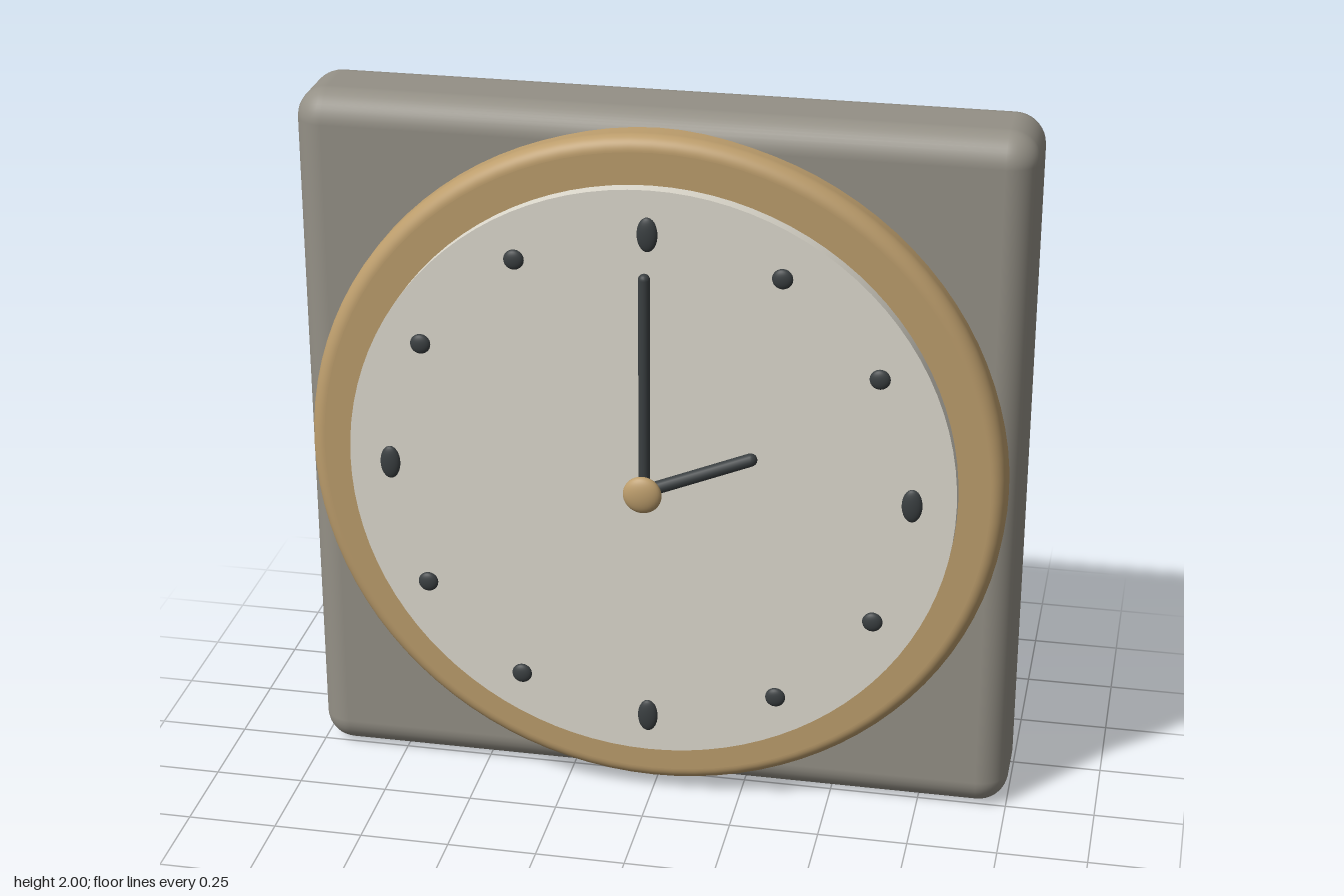
import * as THREE from 'three';
import { RoundedBoxGeometry } from 'three/addons/geometries/RoundedBoxGeometry.js';

const paint = (color) => new THREE.MeshStandardMaterial({ color });

export function createModel() {
  const clock = new THREE.Group();
  clock.name = 'wallClock';
  const stone = paint(0x949086);
  const brass = paint(0xbc9d6c);
  const cream = paint(0xdedace);
  const dark = paint(0x3a3f41);

  const add = (name, geometry, material, x, y, z) => {
    const mesh = new THREE.Mesh(geometry, material);
    mesh.name = name;
    mesh.position.set(x, y, z);
    clock.add(mesh);
    return mesh;
  };

  // Square case with soft edges
  add('case', new RoundedBoxGeometry(2, 2, 0.295, 5, 0.085), stone, 0, 1, -0.1125);

  // Round bezel disc with a rolled front rim, set into the case
  const profile = new THREE.Path();
  profile.moveTo(0.965, -0.03);
  profile.lineTo(0.965, 0.066);
  profile.absarc(0.925, 0.066, 0.04, 0, Math.PI / 2, false);
  const rim = profile.getPoints(8);
  const bezel = new THREE.LatheGeometry(rim, 96).rotateX(Math.PI / 2);
  add('bezel', bezel, brass, 0, 1, 0);
  add('bezelFace', new THREE.CircleGeometry(0.925, 96), brass, 0, 1, 0.106);
  add('bezelBack', new THREE.CircleGeometry(0.965, 96).rotateY(Math.PI), brass, 0, 1, -0.03);

  // Dial plate
  const dial = new THREE.CylinderGeometry(0.838, 0.838, 0.038, 96).rotateX(Math.PI / 2);
  add('dial', dial, cream, 0, 1, 0.132);

  // Twelve hour markers, the quarters taller
  const dot = new THREE.SphereGeometry(1, 24, 16);
  for (let i = 0; i < 12; i++) {
    const a = (i * Math.PI) / 6;
    const quarter = i % 3 === 0;
    const marker = add(quarter ? 'quarterMarker' : 'hourMarker', dot, dark,
      0.72 * Math.sin(a), 1 + 0.72 * Math.cos(a), 0.165);
    marker.scale.set(0.028, quarter ? 0.048 : 0.028, 0.014);
  }

  // Hands: round-ended rods pivoting at the centre
  const hand = (name, length, radius, angle, z) => {
    const rod = new THREE.CapsuleGeometry(radius, length - 2 * radius, 6, 16);
    rod.translate(0, length / 2 - radius, 0);
    add(name, rod, dark, 0, 1, z).rotation.z = -angle;
  };
  hand('minuteHand', 0.642, 0.016, 0, 0.206);
  hand('hourHand', 0.35, 0.018, Math.atan2(0.295, 0.122), 0.215);

  // Flattened centre cap
  add('hub', new THREE.SphereGeometry(0.053, 32, 20), brass, 0, 1, 0.237).scale.z = 0.45;

  return clock;
}
